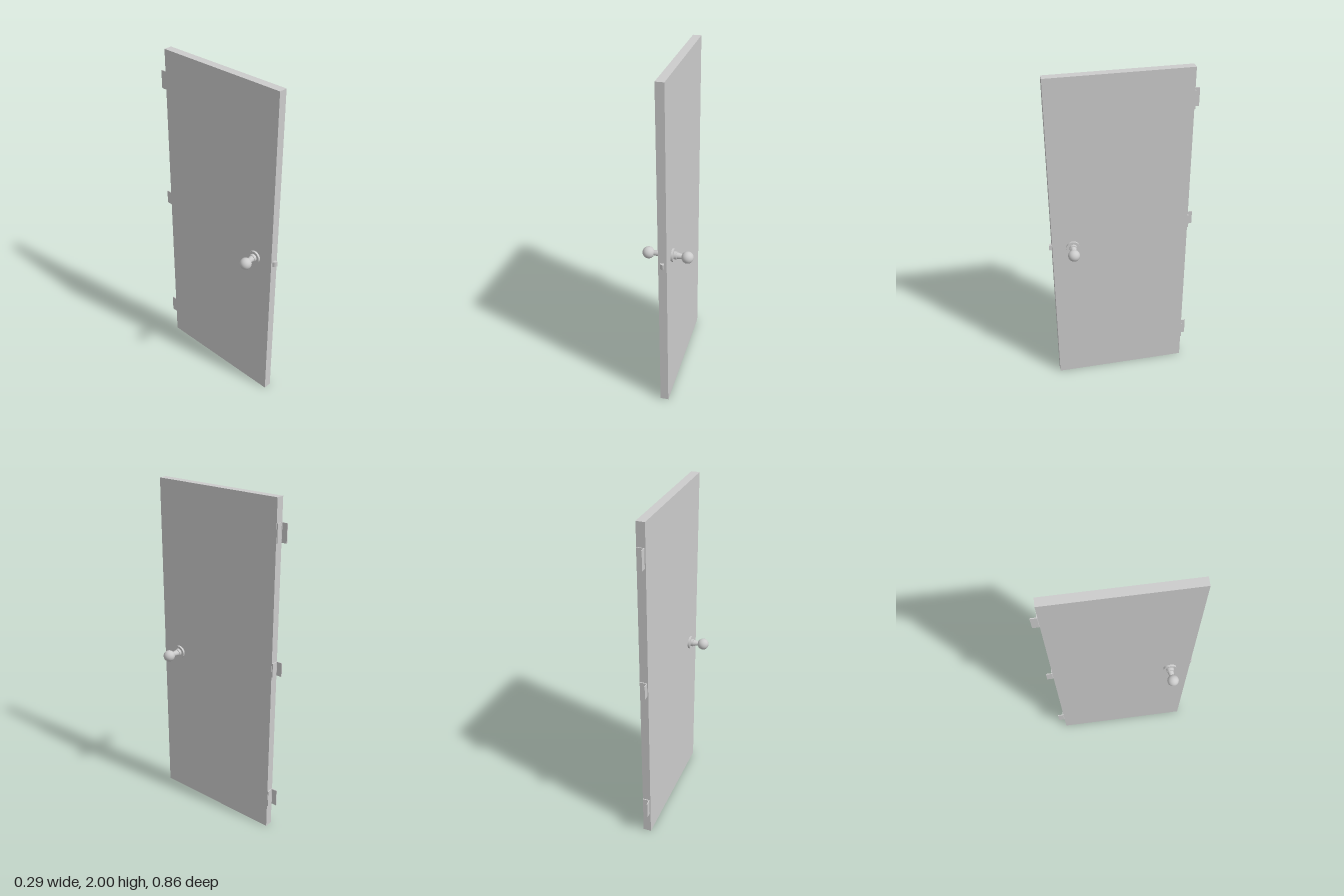
import * as THREE from 'three';

const material = new THREE.MeshStandardMaterial({ color: 0xcccccc });
const KNOB_Y = 0.972;
const DOOR_X = -0.002; // middle of the door's thickness

function add(parent, name, geometry, x = 0, y = 0, z = 0) {
  const mesh = new THREE.Mesh(geometry, material);
  mesh.name = name;
  mesh.position.set(x, y, z);
  parent.add(mesh);
  return mesh;
}

// Turned piece between two points, r1 at the start and r2 at the end
function addTurned(parent, name, from, to, r1, r2) {
  const axis = to.clone().sub(from);
  const mesh = add(parent, name, new THREE.CylinderGeometry(r2, r1, axis.length(), 32));
  mesh.position.copy(from).addScaledVector(axis, 0.5);
  mesh.quaternion.setFromUnitVectors(new THREE.Vector3(0, 1, 0), axis.normalize());
}

// Rosette, collar, leaning neck and ball on one face of the door
function makeKnob(side) {
  const knob = new THREE.Group();
  knob.name = side > 0 ? 'leftKnob' : 'rightKnob';
  const at = (d, z) => new THREE.Vector3(DOOR_X + side * d, KNOB_Y, z);
  addTurned(knob, 'rosette', at(0.02, 0.291), at(0.036, 0.291), 0.038, 0.038);
  addTurned(knob, 'collar', at(0.036, 0.291), at(0.052, 0.291), 0.0225, 0.0225);
  const ballCentre = new THREE.Vector3(side * 0.111, KNOB_Y, 0.2975);
  addTurned(knob, 'neck', at(0.05, 0.2915), ballCentre, 0.019, 0.009);
  add(knob, 'ball', new THREE.SphereGeometry(0.034, 32, 20), ...ballCentre.toArray());
  return knob;
}

// Leaf on the door's edge, pin barrel and free leaf
function makeHinge(y, height) {
  const hinge = new THREE.Group();
  hinge.name = 'hinge';
  add(hinge, 'edgeLeaf', new THREE.BoxGeometry(0.034, height, 0.006), 0.003, y, -0.393);
  add(hinge, 'barrel', new THREE.CylinderGeometry(0.004, 0.004, height, 16), -0.018, y, -0.394);
  add(hinge, 'freeLeaf', new THREE.BoxGeometry(0.005, height, 0.034), -0.0195, y, -0.411);
  return hinge;
}

export function createModel() {
  const door = new THREE.Group();
  door.name = 'door';

  add(door, 'panel', new THREE.BoxGeometry(0.048, 2, 0.8), DOOR_X, 1, 0.01);

  // Latch bolt with one rounded corner, extruded upwards
  const bolt = new THREE.Shape();
  bolt.moveTo(-0.015, -0.4);
  bolt.lineTo(-0.015, -0.41);
  bolt.quadraticCurveTo(-0.013, -0.424, 0.002, -0.427);
  bolt.lineTo(0.008, -0.427);
  bolt.lineTo(0.008, -0.4);
  const boltGeometry = new THREE.ExtrudeGeometry(bolt, { depth: 0.032, bevelEnabled: false });
  boltGeometry.rotateX(-Math.PI / 2);
  add(door, 'latchBolt', boltGeometry, 0, KNOB_Y - 0.016, 0);

  for (const side of [-1, 1]) door.add(makeKnob(side));
  for (const [y, h] of [[1.817, 0.105], [1.054, 0.082], [0.201, 0.105]]) door.add(makeHinge(y, h));

  return door;
}
